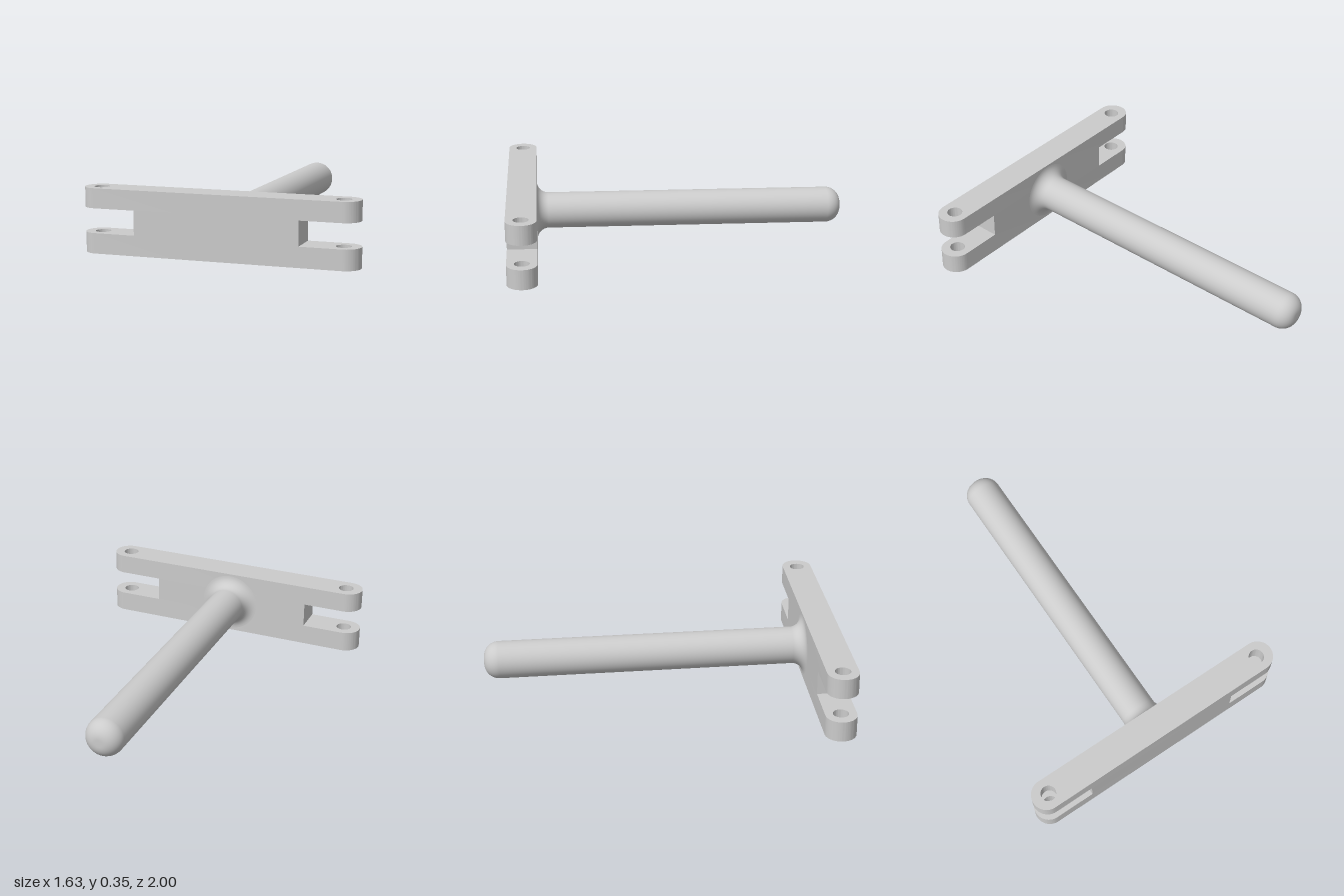
import * as THREE from 'three';
import { toCreasedNormals } from 'three/addons/utils/BufferGeometryUtils.js';

const HALF_W = 0.082;    // half thickness of the bar, also its end radius
const END = 0.676;       // centre of each rounded end
const HEIGHT = 0.35, SLOT_LOW = 0.11, SLOT_HIGH = 0.243;

export function createModel() {
  const model = new THREE.Group();
  const material = new THREE.MeshStandardMaterial({ color: 0xcccccc });

  const add = (parent, name, geometry, y = 0) => {
    const mesh = new THREE.Mesh(geometry, material);
    mesh.name = name;
    mesh.position.y = y;
    parent.add(mesh);
    return mesh;
  };

  // The whole tee is turned 30 degrees about the vertical
  const tee = new THREE.Group();
  tee.name = 'tee';
  tee.position.set(0.1425, 0, 0.58);
  tee.rotation.y = Math.PI / 6;
  model.add(tee);

  // Round-ended plate with a pin hole at each end
  const outline = new THREE.Shape();
  outline.moveTo(-END, -HALF_W);
  outline.lineTo(END, -HALF_W);
  outline.absarc(END, 0, HALF_W, -Math.PI / 2, Math.PI / 2, false);
  outline.lineTo(-END, HALF_W);
  outline.absarc(-END, 0, HALF_W, Math.PI / 2, Math.PI * 1.5, false);
  for (const side of [-1, 1]) {
    const hole = new THREE.Path();
    hole.absarc(side * 0.666, 0, 0.041, 0, Math.PI * 2, true);
    outline.holes.push(hole);
  }
  const plate = (depth) => toCreasedNormals(
    new THREE.ExtrudeGeometry(outline, { depth, bevelEnabled: false, curveSegments: 24 })
      .rotateX(-Math.PI / 2), 0.6);

  add(tee, 'lowerForkPlate', plate(SLOT_LOW));
  add(tee, 'upperForkPlate', plate(HEIGHT - SLOT_HIGH), SLOT_HIGH);

  // Solid middle of the bar between the two fork slots
  add(tee, 'barCore', new THREE.BoxGeometry(0.903, SLOT_HIGH - SLOT_LOW, HALF_W * 2),
    (SLOT_LOW + SLOT_HIGH) / 2);

  // Handle: concave fillet at the bar, straight shaft, rounded tip
  const R = 0.1, FILLET = 0.063, TIP = 1.802, ROUND = 0.08;
  const profile = [];
  for (let i = 0; i <= 10; i++) {
    const a = (i / 10) * Math.PI / 2;
    profile.push(new THREE.Vector2(R + FILLET * (1 - Math.sin(a)), HALF_W + FILLET * (1 - Math.cos(a))));
  }
  for (let i = 0; i <= 12; i++) {
    const a = (i / 12) * Math.PI / 2;
    profile.push(new THREE.Vector2(R - ROUND + ROUND * Math.cos(a), TIP - ROUND + ROUND * Math.sin(a)));
  }
  profile.push(new THREE.Vector2(0, TIP));
  add(tee, 'handle', new THREE.LatheGeometry(profile, 48).rotateX(-Math.PI / 2), HEIGHT / 2);

  return model;
}
